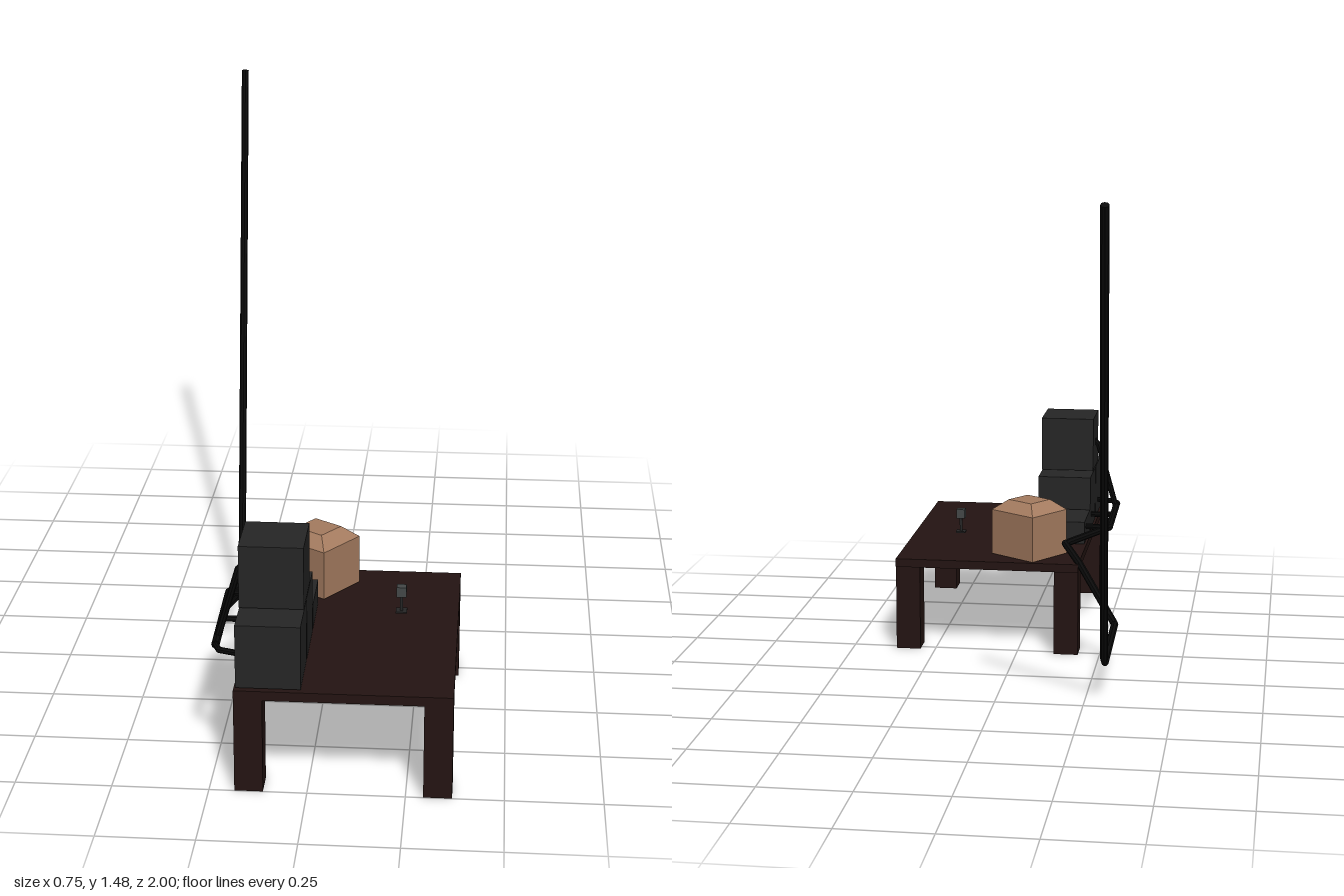
import * as THREE from 'three';

const mat = (color) => new THREE.MeshStandardMaterial({ color, flatShading: true });

export function createModel() {
  const model = new THREE.Group();
  const wood = mat(0x241412), dark = mat(0x262626), card = mat(0xa57c60), black = mat(0x0a0a0a);

  // Box given by its lower and upper limits
  const box = (name, material, x0, x1, y0, y1, z0, z1, parent = model) => {
    const mesh = new THREE.Mesh(new THREE.BoxGeometry(x1 - x0, y1 - y0, z1 - z0), material);
    mesh.position.set((x0 + x1) / 2, (y0 + y1) / 2, (z0 + z1) / 2);
    mesh.name = name;
    parent.add(mesh);
    return mesh;
  };

  // Straight cable runs with rounded joints
  const cable = (name, radius, points) => {
    const group = new THREE.Group();
    group.name = name;
    const v = points.map((p) => new THREE.Vector3(...p));
    for (let i = 0; i < v.length - 1; i++) {
      const dir = v[i + 1].clone().sub(v[i]);
      const run = new THREE.Mesh(new THREE.CylinderGeometry(radius, radius, dir.length(), 8), black);
      run.position.copy(v[i]).add(v[i + 1]).multiplyScalar(0.5);
      run.quaternion.setFromUnitVectors(new THREE.Vector3(0, 1, 0), dir.normalize());
      run.name = 'cableRun';
      group.add(run);
      if (i > 0) {
        const joint = new THREE.Mesh(new THREE.SphereGeometry(radius, 8, 6), black);
        joint.position.copy(v[i]);
        joint.name = 'cableJoint';
        group.add(joint);
      }
    }
    model.add(group);
  };

  // Table
  const table = new THREE.Group();
  table.name = 'table';
  model.add(table);
  box('tableTop', wood, -0.185, 0.368, 0.256, 0.281, 0.223, 1, table);
  for (const x of [-0.185, 0.295])
    for (const z of [0.228, 0.927]) box('tableLeg', wood, x, x + 0.073, 0, 0.258, z, z + 0.072, table);

  // Stacked dark boxes
  box('frontBox', dark, -0.18, -0.015, 0.285, 0.455, 0.822, 0.99);
  box('middleBox', dark, -0.18, -0.015, 0.285, 0.455, 0.642, 0.81);
  box('upperBox', dark, -0.18, -0.015, 0.46, 0.627, 0.727, 0.893);
  box('lowBox', dark, -0.18, -0.015, 0.285, 0.354, 0.463, 0.632);

  // Cardboard box with flaps sloping in to a smaller top
  const carton = new THREE.Group();
  carton.name = 'carton';
  carton.position.set(-0.025, 0, 0.328);
  carton.rotation.y = -0.61;
  model.add(carton);
  box('cartonBody', card, -0.083, 0.083, 0.285, 0.422, -0.077, 0.077, carton);
  const lid = box('cartonFlaps', card, -0.083, 0.083, 0.422, 0.453, -0.077, 0.077, carton);
  const p = lid.geometry.attributes.position;
  for (let i = 0; i < p.count; i++)
    if (p.getY(i) > 0) p.setXYZ(i, p.getX(i) * 0.55, p.getY(i), p.getZ(i) * 0.55);
  lid.geometry.computeVertexNormals();

  // Small stand with a block head
  const stand = new THREE.Group();
  stand.name = 'smallStand';
  model.add(stand);
  box('standBase', dark, 0.2, 0.23, 0.296, 0.3, 0.51, 0.54, stand);
  box('standStem', dark, 0.211, 0.219, 0.3, 0.345, 0.521, 0.529, stand);
  box('standHead', mat(0x444848), 0.202, 0.228, 0.342, 0.37, 0.513, 0.537, stand);

  // Main cable and its branches to the boxes
  cable('mainCable', 0.011, [
    [-0.367, 1.47, -0.99], [-0.303, 0.125, -0.2], [-0.303, 0.103, -0.165], [-0.303, 0.125, 0.145],
    [-0.19, 0.28, 0.235], [-0.14, 0.33, 0.285], [-0.253, 0.33, 0.51], [-0.248, 0.33, 0.84],
  ]);
  cable('lowBoxCable', 0.009, [[-0.253, 0.33, 0.51], [-0.175, 0.33, 0.51]]);
  cable('middleBoxCable', 0.009, [[-0.25, 0.33, 0.68], [-0.175, 0.33, 0.678]]);
  cable('upperBoxCable', 0.009, [[-0.248, 0.33, 0.795], [-0.19, 0.53, 0.808], [-0.175, 0.545, 0.81]]);
  cable('frontBoxCable', 0.008, [[-0.248, 0.33, 0.84], [-0.235, 0.33, 0.87], [-0.175, 0.33, 0.89]]);

  return model;
}
